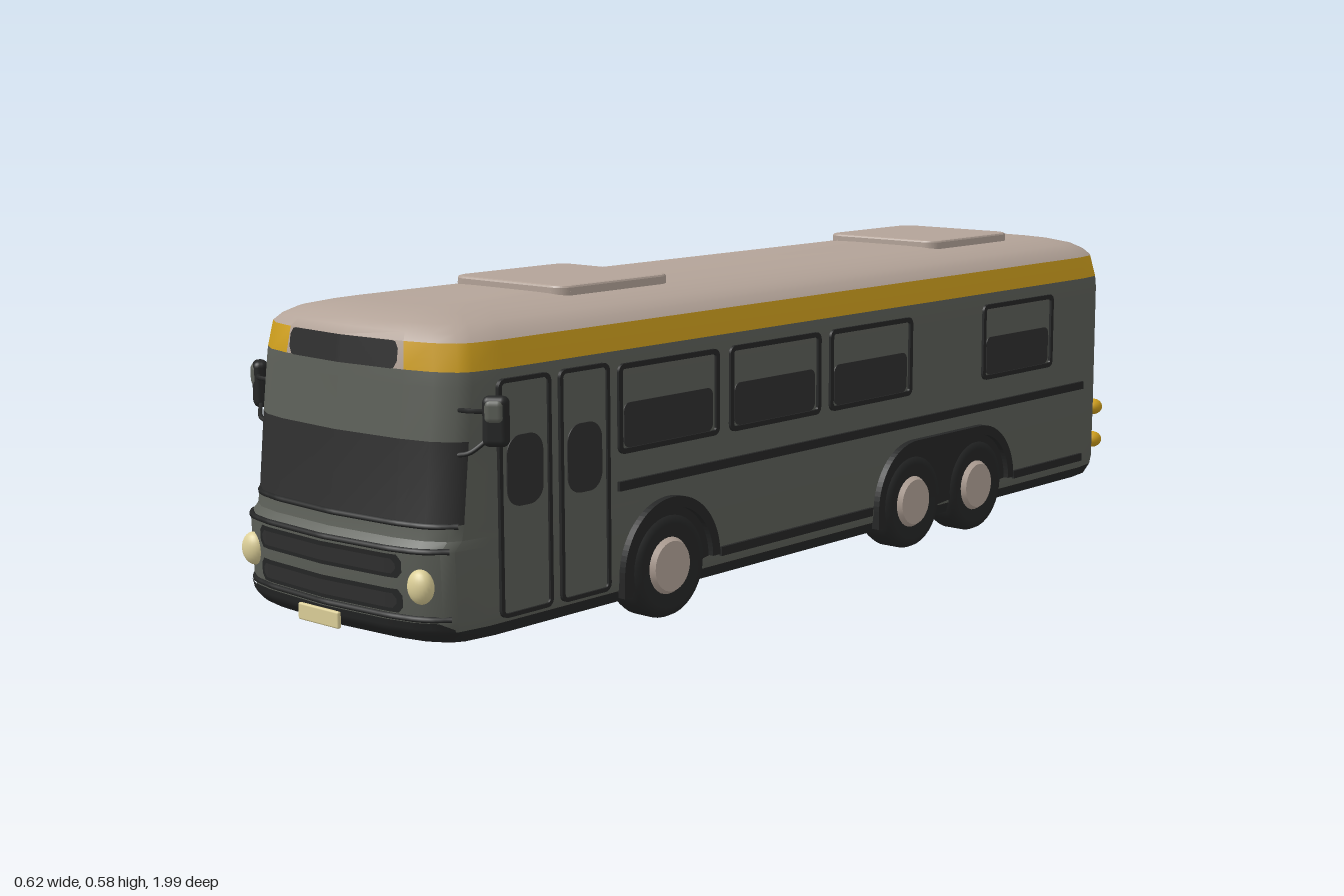
import * as THREE from 'three';
import { toCreasedNormals } from 'three/addons/utils/BufferGeometryUtils.js';
import { RoundedBoxGeometry } from 'three/addons/geometries/RoundedBoxGeometry.js';

// body levels: height, half width, front z, rear z
const LEVELS = [
  [0.05, 0.245, 0.955, -0.97], [0.07, 0.253, 0.974, -0.982], [0.088, 0.255, 0.978, -0.985], [0.2, 0.255, 0.982, -0.987],
  [0.215, 0.255, 0.966, -0.987], [0.24, 0.255, 0.961, -0.987], [0.37, 0.255, 0.948, -0.987],
  [0.455, 0.255, 0.938, -0.987], [0.478, 0.253, 0.936, -0.986], [0.522, 0.244, 0.93, -0.978],
  [0.535, 0.23, 0.92, -0.968], [0.547, 0.205, 0.903, -0.952], [0.557, 0.16, 0.875, -0.92], [0.563, 0.11, 0.82, -0.87],
];
// plan corners: x, set-back from the foremost / rearmost line
const FRONT = [[0, 0], [0.145, 0.01], [0.2, 0.022], [0.235, 0.042], [0.247, 0.062], [0.255, 0.12]];
const REAR = [[0, 0], [0.13, 0.005], [0.23, 0.02], [0.247, 0.045], [0.255, 0.1]];
const lerp = THREE.MathUtils.lerp;

// z of the body's front or rear face at (x, y)
function zAt(x, y, rear) {
  let j = 0;
  while (j < LEVELS.length - 2 && LEVELS[j + 1][0] < y) j++;
  const a = LEVELS[j], b = LEVELS[j + 1], t = (y - a[0]) / (b[0] - a[0]);
  const px = Math.abs(x) * 0.255 / lerp(a[1], b[1], t), pts = rear ? REAR : FRONT;
  let i = 0;
  while (i < pts.length - 2 && pts[i + 1][0] < px) i++;
  const d = lerp(pts[i][1], pts[i + 1][1], (px - pts[i][0]) / (pts[i + 1][0] - pts[i][0]));
  return rear ? lerp(a[3], b[3], t) + d : lerp(a[2], b[2], t) - d;
}

function roundRect(w, h, r, P = THREE.Shape) {
  const s = new P(), x = w / 2, y = h / 2;
  s.absarc(x - r, y - r, r, 0, Math.PI / 2);
  s.absarc(-x + r, y - r, r, Math.PI / 2, Math.PI);
  s.absarc(-x + r, -y + r, r, Math.PI, Math.PI * 1.5);
  s.absarc(x - r, -y + r, r, Math.PI * 1.5, Math.PI * 2);
  s.closePath();
  return s;
}
const extrude = (shape, depth) => new THREE.ExtrudeGeometry(shape, { depth, bevelEnabled: false, curveSegments: 10 });
function frameShape(w, h, r, t) {
  const s = roundRect(w, h, r);
  s.holes.push(roundRect(w - 2 * t, h - 2 * t, Math.max(r - t, 0.004), THREE.Path));
  return s;
}

// lofted shell, split into material groups: 0 body, 1 roof, 2 stripe, 3 glass, 4 trim
function shellGeometry() {
  const pos = [], groups = [[], [], [], [], []];
  for (const [y, w, zf, zr] of LEVELS) {
    const k = w / 0.255;
    const half = [...FRONT.map(([x, d]) => [x * k, zf - d]), ...REAR.map(([x, d]) => [x * k, zr + d]).reverse()];
    const ring = [...half, ...half.slice(1, -1).reverse().map(([x, z]) => [-x, z])];
    ring.forEach(([x, z]) => pos.push(x, y, z));
  }
  const n = pos.length / 3 / LEVELS.length, last = LEVELS.length - 1;
  const pick = (j, i) => {
    const m = Math.min(i, n - 1 - i), y = LEVELS[j][0]; // m counts segments back from the front centre
    if (j < 1) return 4;
    if (y >= 0.52) return 1;
    if (y >= 0.478) return m >= 1 && m <= 6 ? 2 : 1;
    return y >= 0.24 && y < 0.37 && m < 4 ? 3 : 0;
  };
  for (let j = 0; j < last; j++) for (let i = 0; i < n; i++) {
    const a = j * n + i, b = j * n + (i + 1) % n;
    groups[pick(j, i)].push(a, b, b + n, a, b + n, a + n);
  }
  const c = pos.length / 3;
  pos.push(0, 0.05, 0, 0, 0.565, 0);
  for (let i = 0; i < n; i++) {
    const k = (i + 1) % n;
    groups[4].push(c, k, i);
    groups[1].push(c + 1, last * n + i, last * n + k);
  }
  const g = new THREE.BufferGeometry();
  g.setAttribute('position', new THREE.Float32BufferAttribute(pos, 3));
  g.setIndex(groups.flat());
  let start = 0;
  groups.forEach((list, m) => { g.addGroup(start, list.length, m); start += list.length; });
  return toCreasedNormals(g, 0.55);
}

export function createModel() {
  const bus = new THREE.Group();
  bus.name = 'bus';
  const mat = (name, color, side = THREE.FrontSide) => {
    const m = new THREE.MeshStandardMaterial({ color, side });
    m.name = name;
    return m;
  };
  const body = mat('greyPaint', 0x5c5f58), roof = mat('beigePaint', 0xb3a398), stripe = mat('yellowPaint', 0xd0a01e);
  const glass = mat('darkGlass', 0x2f2f2f), trim = mat('blackTrim', 0x252626), lamp = mat('creamLamp', 0xdccf98);
  const add = (name, geo, m, x = 0, y = 0, z = 0, parent = bus) => {
    const mesh = new THREE.Mesh(geo, m);
    mesh.name = name;
    mesh.position.set(x, y, z);
    parent.add(mesh);
    return mesh;
  };
  add('bodyShell', shellGeometry(), [body, roof, stripe, glass, trim]);

  // rounded plate that follows the front or rear face
  const plate = (name, m, w, h, y, r, off, rear = false) => {
    const g = new THREE.PlaneGeometry(w, h, 40, 6), p = g.attributes.position;
    if (rear) g.rotateY(Math.PI);
    for (let i = 0; i < p.count; i++) {
      const x = p.getX(i), e = Math.max(0, r - (w / 2 - Math.abs(x)));
      const k = 1 - 2 * (r - Math.sqrt(Math.max(0, r * r - e * e))) / h;
      const py = y + p.getY(i) * k;
      p.setXYZ(i, x, py, zAt(x, py, rear) + (rear ? -off : off));
    }
    g.computeVertexNormals();
    return add(name, g, m);
  };
  // thin rod across the front face
  const rod = (name, m, y, hw, r) => {
    const pts = [];
    for (let i = -10; i <= 10; i++) pts.push(new THREE.Vector3(i / 10 * hw, y, zAt(i / 10 * hw, y) + r * 0.3));
    add(name, new THREE.TubeGeometry(new THREE.CatmullRomCurve3(pts), 40, r, 6), m);
  };

  // front face
  plate('destinationSign', glass, 0.264, 0.044, 0.5, 0.012, 0.004);
  rod('windscreenSill', trim, 0.238, 0.243, 0.005);
  rod('grilleTopEdge', trim, 0.201, 0.243, 0.005);
  rod('grilleBottomEdge', trim, 0.092, 0.243, 0.005);
  plate('bumper', trim, 0.49, 0.032, 0.071, 0.012, 0.006);
  for (const y of [0.174, 0.118]) {
    plate('grilleSlot', trim, 0.35, 0.038, y, 0.01, 0.003);
    plate('grilleInsert', glass, 0.33, 0.024, y, 0.008, 0.005);
  }
  add('frontPlate', new RoundedBoxGeometry(0.1, 0.028, 0.008, 2, 0.003), lamp, 0, 0.071, 0.99);

  // rear face
  plate('rearWindow', trim, 0.41, 0.09, 0.43, 0.025, 0.003, true);
  plate('rearGlass', glass, 0.38, 0.066, 0.43, 0.02, 0.005, true);
  plate('rearHatchEdge', trim, 0.29, 0.09, 0.295, 0.014, 0.003, true);
  plate('rearHatch', body, 0.28, 0.08, 0.295, 0.012, 0.005, true);
  for (const y of [0.182, 0.118]) {
    plate('rearSlot', trim, 0.42, 0.042, y, 0.012, 0.004, true);
    plate('rearSlotInsert', glass, 0.39, 0.026, y, 0.01, 0.006, true);
  }
  add('rearPlate', new RoundedBoxGeometry(0.09, 0.028, 0.008, 2, 0.003), lamp, 0, 0.148, -0.994);

  // roof hatches
  const hatch = new THREE.ExtrudeGeometry(roundRect(0.262, 0.266, 0.025),
    { depth: 0.012, bevelThickness: 0.004, bevelSize: 0.006, bevelSegments: 2, curveSegments: 8 }).rotateX(-Math.PI / 2);
  const hatchBase = extrude(roundRect(0.274, 0.278, 0.03), 0.016).rotateX(-Math.PI / 2);
  for (const z of [0.428, -0.637]) {
    add('roofHatch', hatch, roof, 0, 0.561, z);
    add('hatchBase', hatchBase, roof, 0, 0.55, z);
  }

  // shared side geometry
  const windowFrame = extrude(frameShape(0.255, 0.152, 0.014, 0.009), 0.006);
  const windowGlass = extrude(roundRect(0.225, 0.076, 0.014), 0.003);
  const doorFrame = extrude(frameShape(0.116, 0.385, 0.014, 0.007), 0.007);
  const doorPanel = extrude(roundRect(0.104, 0.373, 0.01), 0.003);
  const doorGlass = extrude(roundRect(0.08, 0.115, 0.03), 0.005);
  const tyre = new THREE.LatheGeometry([[0.01, -0.037], [0.075, -0.037], [0.088, -0.032], [0.093, -0.02], [0.093, 0.02],
    [0.088, 0.032], [0.075, 0.037], [0.055, 0.032], [0.01, 0.032]].map(p => new THREE.Vector2(...p)), 36).rotateZ(-Math.PI / 2);
  const hub = new THREE.CylinderGeometry(0.044, 0.052, 0.012, 28);

  // arch over one wheel or a pair, c = half distance between axles
  const archPath = (c, r, P) => {
    const s = new P();
    s.moveTo(c + r, -0.035);
    s.absarc(c, 0, r, 0, Math.PI / 2);
    s.absarc(-c, 0, r, Math.PI / 2, Math.PI);
    s.lineTo(-c - r, -0.035);
    s.closePath();
    return s;
  };
  const archRim = c => {
    const s = archPath(c, 0.122, THREE.Shape), inner = archPath(c, 0.103, THREE.Path).getPoints(10);
    const outer = s.getPoints(10).slice(0, -1);
    return new THREE.Shape([...outer, ...inner.slice(0, -1).reverse()]);
  };

  for (const s of [1, -1]) {
    const side = new THREE.Group();
    side.name = s > 0 ? 'leftSide' : 'rightSide';
    bus.add(side);
    // flat part standing on the side wall
    const wall = (name, geo, m, y, z, x = 0.254) => {
      add(name, geo, m, s * x, y, z, side).rotation.y = s * Math.PI / 2;
    };
    const bays = s > 0 ? [0.432, 0.148, -0.135, -0.63] : [0.432, -0.135, -0.63];
    for (const z of bays) {
      wall('windowFrame', windowFrame, trim, 0.38, z);
      wall('windowGlass', windowGlass, glass, 0.351, z);
    }
    for (const z of s > 0 ? [0.776, 0.64] : [0.776, 0.64, 0.216, 0.08]) {
      wall('doorFrame', doorFrame, trim, 0.27, z);
      wall('doorLeaf', doorPanel, body, 0.27, z);
      wall('doorGlass', doorGlass, glass, 0.312, z);
    }
    // rub strips, interrupted by the middle door
    const strips = [[0.25, -0.88, s > 0 ? 0.56 : 0.01], [0.094, -0.14, 0.3], [0.094, -0.88, -0.62]];
    if (s < 0) strips.push([0.25, 0.285, 0.56]);
    for (const [y, z0, z1] of strips) {
      add('rubStrip', new THREE.BoxGeometry(0.01, 0.016, z1 - z0), trim, s * 0.256, y, (z0 + z1) / 2, side);
    }
    // wheel arches and wheels
    for (const [z, c] of [[0.435, 0], [-0.378, 0.107]]) {
      wall('wheelWell', extrude(archPath(c, 0.108, THREE.Shape), 0.004), trim, 0.093, z, 0.253);
      wall('archRim', extrude(archRim(c), 0.016), trim, 0.093, z, 0.252);
    }
    for (const z of [0.435, -0.271, -0.485]) {
      const wheel = new THREE.Group();
      wheel.name = 'wheel';
      wheel.position.set(s * 0.225, 0.093, z);
      wheel.rotation.y = s > 0 ? 0 : Math.PI;
      side.add(wheel);
      add('tyre', tyre, trim, 0, 0, 0, wheel);
      add('hub', hub, roof, 0.035, 0, 0, wheel).rotation.z = -Math.PI / 2;
    }
    // lamps
    const ball = new THREE.SphereGeometry(1, 24, 14);
    const head = add('headlamp', ball, lamp, s * 0.207, 0.145, zAt(0.207, 0.145) + 0.002, side);
    head.scale.set(0.025, 0.028, 0.018);
    for (const y of [0.19, 0.118]) {
      add('tailLamp', ball, stripe, s * 0.232, y, -0.966, side).scale.set(0.02, 0.017, 0.022);
    }
    // mirror on two arms
    add('mirrorHead', new RoundedBoxGeometry(0.042, 0.08, 0.026, 3, 0.011), trim, s * 0.29, 0.405, 0.868, side).rotation.y = s * 0.6;
    add('mirrorBack', new RoundedBoxGeometry(0.034, 0.04, 0.026, 3, 0.011), body, s * 0.291, 0.421, 0.871, side).rotation.y = s * 0.6;
    const arms = [[[0.236, 0.42, 0.895], [0.26, 0.421, 0.895], [0.285, 0.42, 0.873]],
      [[0.238, 0.35, 0.9], [0.258, 0.355, 0.895], [0.283, 0.38, 0.873]]];
    for (const pts of arms) {
      const curve = new THREE.CatmullRomCurve3(pts.map(([x, y, z]) => new THREE.Vector3(s * x, y, z)));
      add('mirrorArm', new THREE.TubeGeometry(curve, 10, 0.004, 6), trim, 0, 0, 0, side);
    }
  }
  return bus;
}
